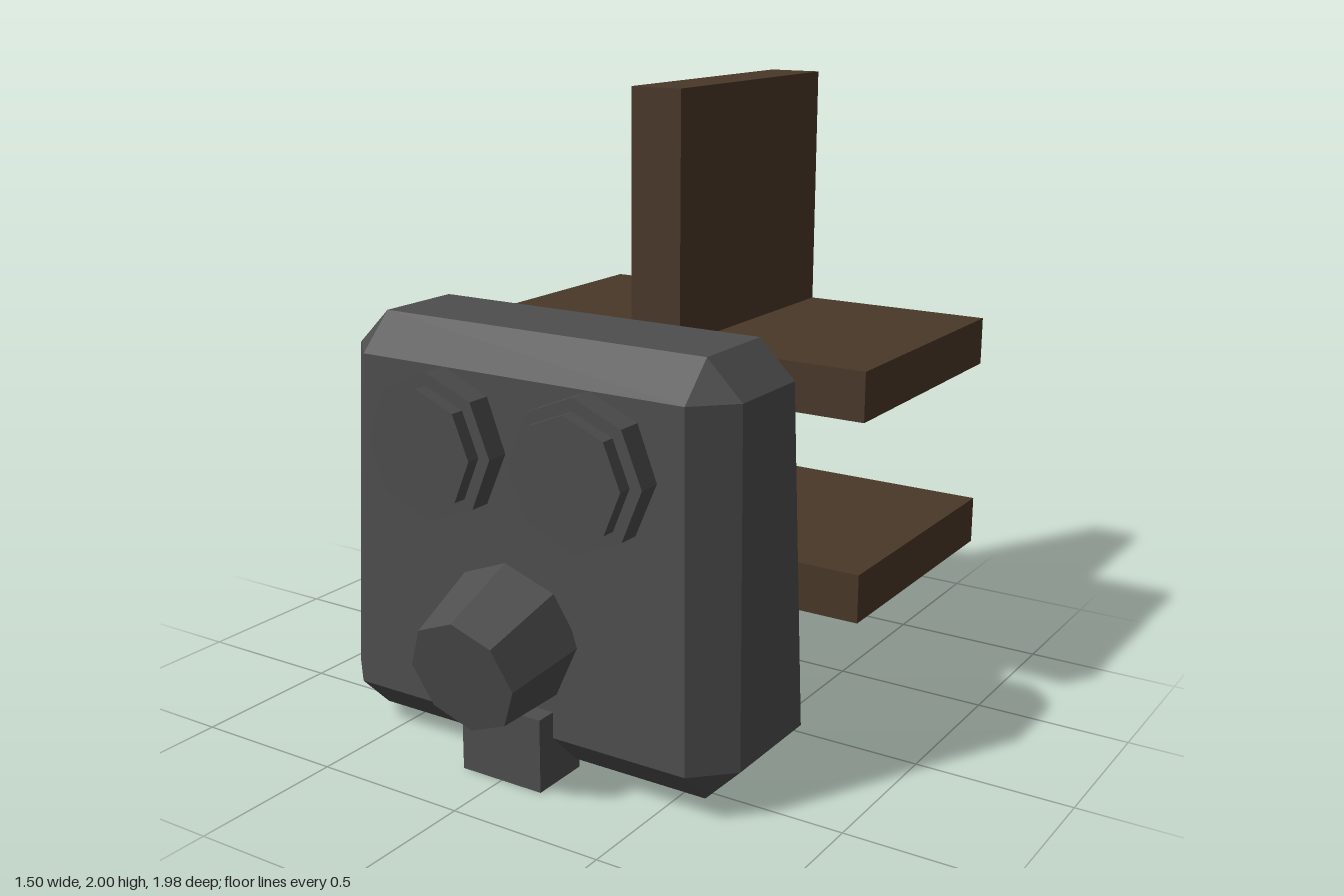
import * as THREE from 'three';
import { ConvexGeometry } from 'three/addons/geometries/ConvexGeometry.js';

export function createModel() {
  const model = new THREE.Group();
  model.name = 'gasMask';

  const rubber = new THREE.MeshStandardMaterial({ color: 0x4e4e4e, flatShading: true });
  rubber.name = 'dark grey rubber';
  const leather = new THREE.MeshStandardMaterial({ color: 0x4a3829, flatShading: true });
  leather.name = 'brown leather';

  function add(name, geometry, material, x = 0, y = 0, z = 0) {
    const mesh = new THREE.Mesh(geometry, material);
    mesh.name = name;
    mesh.position.set(x, y, z);
    model.add(mesh);
    return mesh;
  }

  // Box given by its limits on each axis
  function addBox(name, material, [x0, x1], [y0, y1], [z0, z1]) {
    return add(name, new THREE.BoxGeometry(x1 - x0, y1 - y0, z1 - z0), material,
      (x0 + x1) / 2, (y0 + y1) / 2, (z0 + z1) / 2);
  }

  // Octagonal drum facing +z, corners on the vertical and horizontal axes
  function drum(frontRadius, backRadius, depth) {
    return new THREE.CylinderGeometry(frontRadius, backRadius, depth, 8).rotateX(Math.PI / 2);
  }

  // Face piece: tapered block with every edge bevelled
  const bevel = 0.115;
  const points = [];
  const levels = [
    { y: 1.225, cap: 1.34, halfX: 0.69, halfZ: 0.263 },
    { y: 0.15, cap: 0.035, halfX: 0.72, halfZ: 0.298 },
  ];
  for (const { y, cap, halfX, halfZ } of levels) {
    for (const sx of [-1, 1]) {
      for (const sz of [-1, 1]) {
        const inX = sx * (halfX - bevel), inZ = sz * (halfZ - bevel);
        points.push(
          new THREE.Vector3(inX, cap, inZ),
          new THREE.Vector3(sx * halfX, y, inZ),
          new THREE.Vector3(inX, y, sz * halfZ),
        );
      }
    }
  }
  add('facePiece', new ConvexGeometry(points), rubber, 0, 0, 0.413);

  // Eyepieces: a wide rim with a smaller lens in front
  for (const [side, s] of [['left', 1], ['right', -1]]) {
    add(side + 'EyeRim', drum(0.23, 0.23, 0.09), rubber, s * 0.262, 0.995, 0.714);
    add(side + 'EyeLens', drum(0.19, 0.19, 0.09), rubber, s * 0.262, 0.995, 0.76);
  }

  // Filter canister, tilted down and narrowing to the front
  const filter = add('filterCanister', drum(0.184, 0.231, 0.27), rubber, 0, 0.427, 0.82);
  filter.rotation.x = 0.2186;

  // Outlet valve under the filter
  addBox('outletValve', rubber, [-0.145, 0.145], [0, 0.233], [0.577, 0.777]);

  // Head straps
  const strapZ = [-0.99, -0.075];
  addBox('upperStrap', leather, [-0.75, 0.75], [1.03, 1.19], strapZ);
  addBox('lowerStrap', leather, [-0.75, 0.75], [0.38, 0.54], strapZ);
  addBox('crownStrap', leather, [-0.092, 0.092], [1.19, 2], strapZ);

  return model;
}
